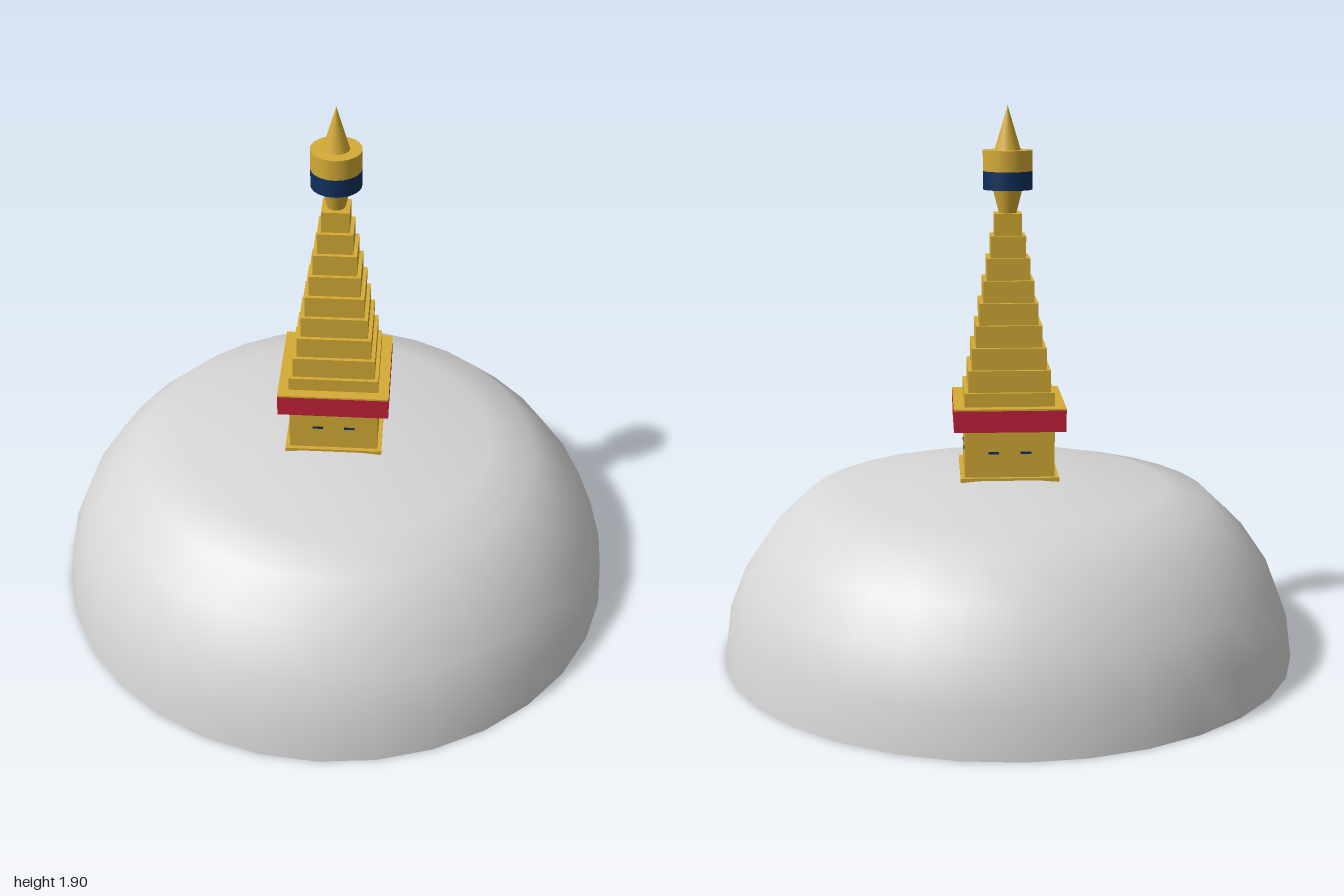
import * as THREE from 'three';

const mat = (name, color) => {
  const m = new THREE.MeshStandardMaterial({ color });
  m.name = name;
  return m;
};

export function createModel() {
  const stone = mat('pale stone', 0xd6d6d6);
  const gold = mat('gold', 0xd4ab36);
  const red = mat('crimson', 0xc4203a);
  const navy = mat('navy', 0x10305e);

  const model = new THREE.Group();
  model.name = 'stupa';

  const add = (name, geometry, material, x = 0, y = 0, z = 0) => {
    const mesh = new THREE.Mesh(geometry, material);
    mesh.name = name;
    mesh.position.set(x, y, z);
    model.add(mesh);
    return mesh;
  };
  // square block and round drum, given by half width or radii and y range
  const block = (name, half, y0, y1, material) =>
    add(name, new THREE.BoxGeometry(half * 2, y1 - y0, half * 2), material, 0, (y0 + y1) / 2, 0);
  const drum = (name, rBottom, rTop, y0, y1, material, sides = 32) =>
    add(name, new THREE.CylinderGeometry(rTop, rBottom, y1 - y0, sides), material, 0, (y0 + y1) / 2, 0);

  // Dome: elliptical flank, then a shallow shoulder
  const profile = [];
  for (let i = 0; i <= 4; i++) {
    const a = (i * Math.PI) / 16;
    profile.push(new THREE.Vector2(Math.cos(a), 0.78 * Math.sin(a)));
  }
  profile.push(new THREE.Vector2(0.555, 0.592), new THREE.Vector2(0.383, 0.617),
    new THREE.Vector2(0.195, 0.644), new THREE.Vector2(0, 0.645));
  add('dome', new THREE.LatheGeometry(profile, 32), stone);
  add('domeUnderside', new THREE.CircleGeometry(1, 32), stone).rotation.x = Math.PI / 2;

  // Square shrine with plinth and banded cornice
  block('plinth', 0.168, 0.63, 0.653, gold);
  block('shrine', 0.153, 0.64, 0.82, gold);
  block('corniceBand', 0.19, 0.818, 0.892, red);
  block('corniceTop', 0.19, 0.892, 0.898, gold);

  // Painted eyes on all four sides
  for (let side = 0; side < 4; side++) {
    const face = new THREE.Group();
    face.name = 'eyes';
    face.rotation.y = (side * Math.PI) / 2;
    for (const x of [-0.055, 0.055]) {
      const eye = new THREE.Mesh(new THREE.BoxGeometry(0.036, 0.008, 0.003), navy);
      eye.name = 'eye';
      eye.position.set(x, 0.738, 0.154);
      face.add(eye);
    }
    model.add(face);
  }

  // Stepped spire
  const tiers = 9;
  for (let i = 0; i < tiers; i++) {
    const y0 = i === 0 ? 0.896 : 0.945 + (i - 1) * 0.0745;
    block('spireTier', 0.153 - i * 0.0133, y0, 0.945 + i * 0.0745, gold);
  }

  // Flared neck, crown ring and finial
  drum('neck', 0.03, 0.05, 1.54, 1.62, gold);
  drum('crownBand', 0.084, 0.084, 1.62, 1.682, navy);
  drum('crown', 0.084, 0.084, 1.682, 1.752, gold);
  drum('finial', 0.045, 0, 1.75, 1.9, gold, 16);

  return model;
}
